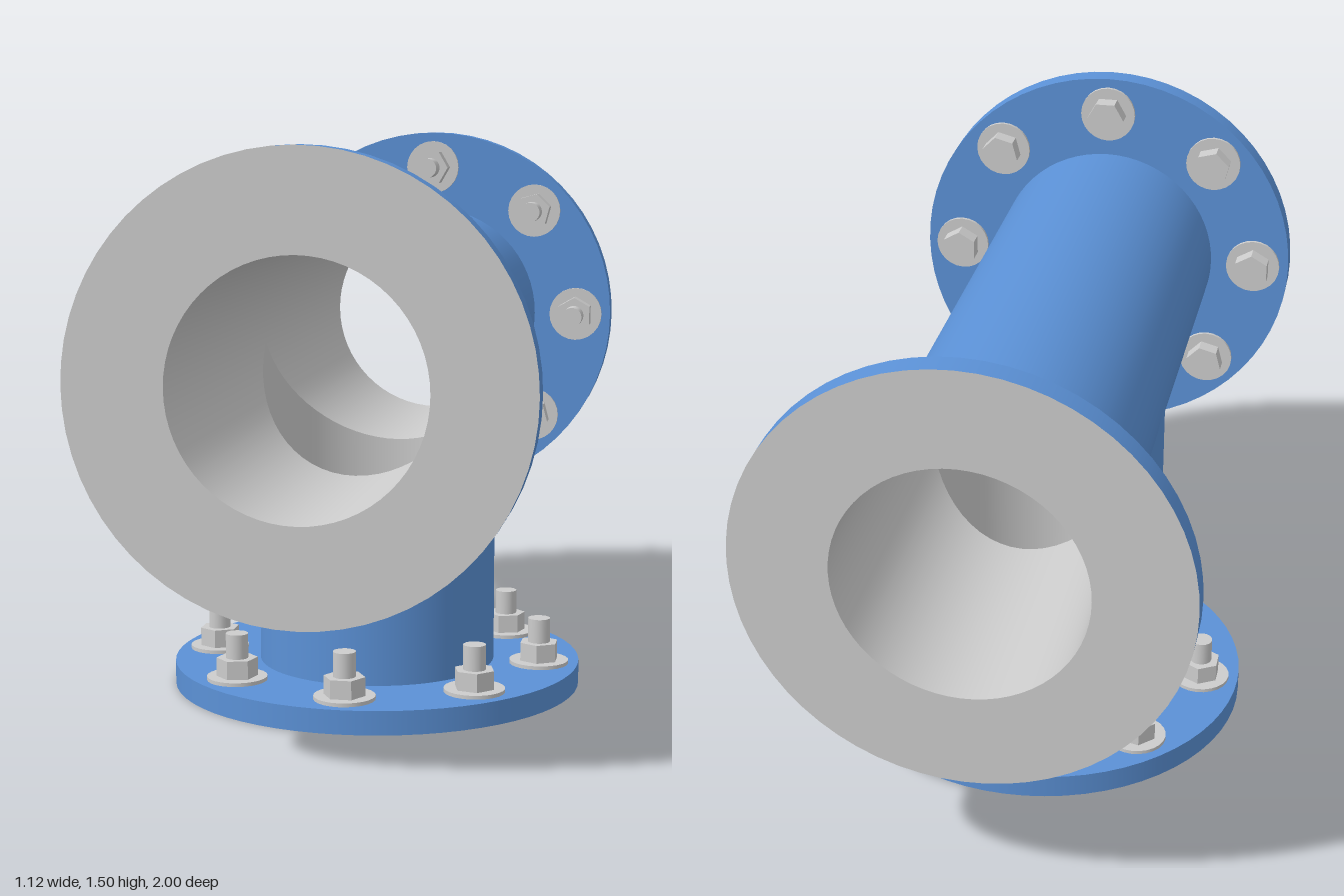
import * as THREE from 'three';

const FLANGE_R = 0.559, FLANGE_T = 0.064, PIPE_R = 0.324, BORE_R = 0.312;
const AXIS_Y = 0.936, BOLT_CIRCLE = 0.452, BOLTS = 8;

const paint = new THREE.MeshStandardMaterial({ color: 0x5b91d6 });
paint.name = 'bluePaint';
const steel = new THREE.MeshStandardMaterial({ color: 0xcccccc, side: THREE.DoubleSide });
steel.name = 'bareSteel';

function add(parent, name, geometry, material, y = 0) {
  const mesh = new THREE.Mesh(geometry, material);
  mesh.name = name;
  mesh.position.y = y;
  parent.add(mesh);
  return mesh;
}

// Open tube along y whose inner end is cut to meet the other pipes
function mitredTube(radius, start, length, cut) {
  const geo = new THREE.CylinderGeometry(radius, radius, 1, 64, 1, true);
  const p = geo.attributes.position;
  for (let i = 0; i < p.count; i++) {
    p.setY(i, p.getY(i) > 0 ? length - cut(p.getZ(i)) : start);
  }
  return geo;
}

// Flat ring facing up (+1) or down (-1) the y axis
function ring(inner, outer, dir) {
  return new THREE.RingGeometry(inner, outer, 64).rotateX(-dir * Math.PI / 2);
}

// Washer with a hexagon, plus a protruding stud on the nut side
function makeBolt(withStud) {
  const bolt = new THREE.Group();
  bolt.name = withStud ? 'nutAndStud' : 'boltHead';
  add(bolt, 'washer', new THREE.CylinderGeometry(0.081, 0.081, 0.01, 24), steel, 0.005);
  const hex = new THREE.CylinderGeometry(0.055, 0.055, 0.05, 6).toNonIndexed();
  hex.computeVertexNormals();
  add(bolt, withStud ? 'nut' : 'hexHead', hex, steel, 0.035);
  if (withStud) add(bolt, 'stud', new THREE.CylinderGeometry(0.03, 0.03, 0.12, 20), steel, 0.066);
  return bolt;
}

// One flanged pipe: mating face at y = 0, pipe running up to the junction
function makeArm(name, length, cut, withStuds) {
  const arm = new THREE.Group();
  arm.name = name;
  add(arm, 'pipe', mitredTube(PIPE_R, FLANGE_T, length, cut), paint);
  add(arm, 'bore', mitredTube(BORE_R, 0, length, cut), steel);
  add(arm, 'flangeRim',
    new THREE.CylinderGeometry(FLANGE_R, FLANGE_R, FLANGE_T, 64, 1, true), paint, FLANGE_T / 2);
  add(arm, 'flangeBack', ring(PIPE_R, FLANGE_R, 1), paint, FLANGE_T);
  add(arm, 'matingFace', ring(BORE_R, FLANGE_R, -1), steel);
  for (let i = 0; i < BOLTS; i++) {
    const a = i * 2 * Math.PI / BOLTS;
    const bolt = makeBolt(withStuds);
    bolt.position.set(BOLT_CIRCLE * Math.cos(a), FLANGE_T, -BOLT_CIRCLE * Math.sin(a));
    bolt.rotation.y = a;
    arm.add(bolt);
  }
  return arm;
}

export function createModel() {
  const model = new THREE.Group();
  model.name = 'flangedPipeTee';

  // Vertical branch
  model.add(makeArm('branch', AXIS_Y, z => Math.abs(z), true));

  // Two halves of the horizontal run, notched below for the branch
  const front = makeArm('frontRun', 1, z => Math.max(0, -z), false);
  front.rotation.x = -Math.PI / 2;
  front.position.set(0, AXIS_Y, 1);
  model.add(front);

  const back = makeArm('backRun', 1, z => Math.max(0, z), true);
  back.rotation.x = Math.PI / 2;
  back.position.set(0, AXIS_Y, -1);
  model.add(back);

  return model;
}
